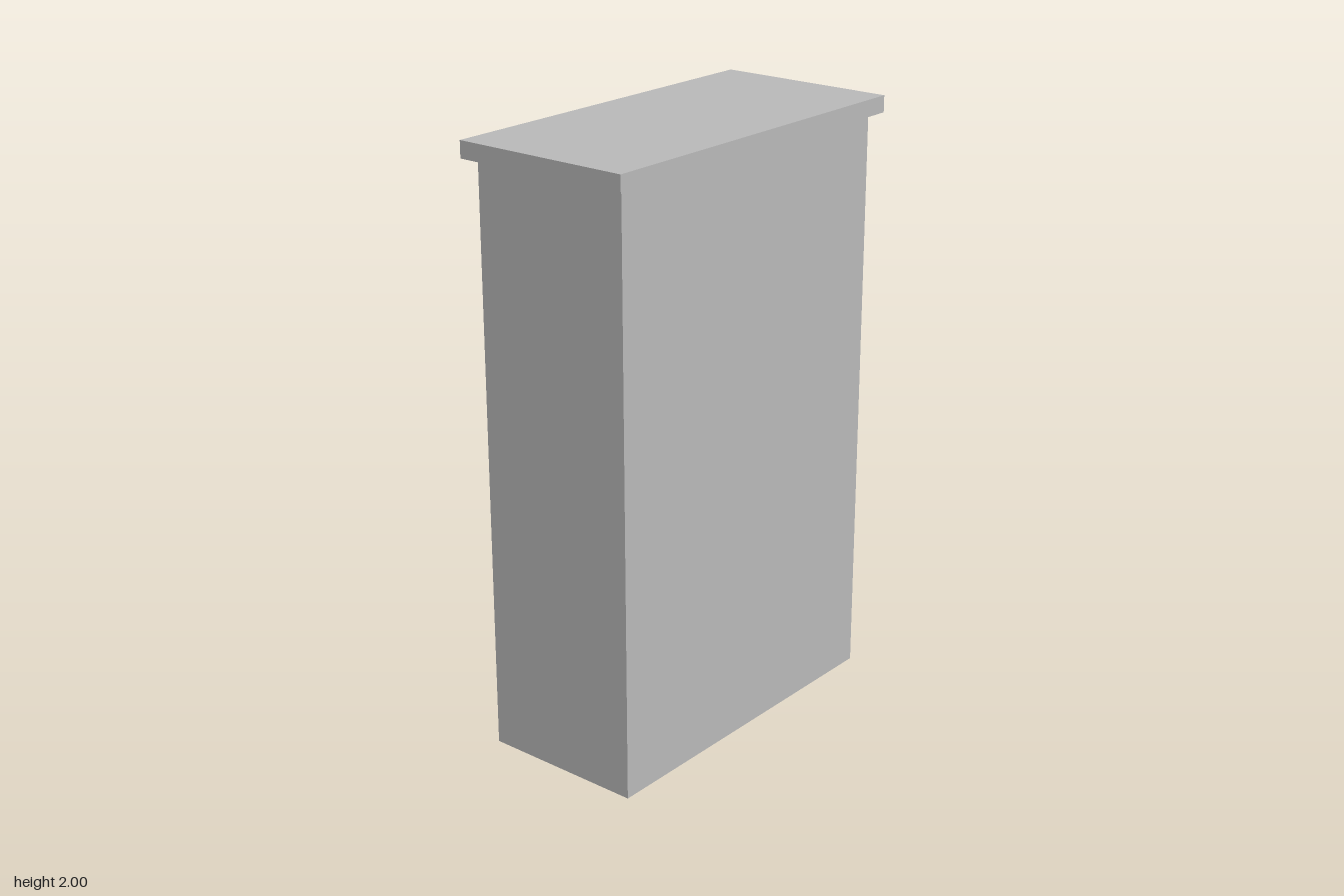
import * as THREE from 'three';

export function createModel() {
  const group = new THREE.Group();
  const grey = new THREE.MeshStandardMaterial({ color: 0xb8b8b8 });
  grey.name = 'grey';

  const add = (name, geometry, x, y, z) => {
    const mesh = new THREE.Mesh(geometry, grey);
    mesh.name = name;
    mesh.position.set(x, y, z);
    group.add(mesh);
  };

  // Box given by its extents on each axis
  const box = (name, [x0, x1], [y0, y1], [z0, z1]) =>
    add(name, new THREE.BoxGeometry(x1 - x0, y1 - y0, z1 - z0),
      (x0 + x1) / 2, (y0 + y1) / 2, (z0 + z1) / 2);

  const doorZ = -0.274; // the doors are on the -z side

  // Cabinet carcass and overhanging top
  box('body', [-0.598, 0.598], [0, 1.945], [doorZ, 0.28]);
  box('cornice', [-0.637, 0.637], [1.945, 2], [-0.306, 0.312]);

  // Strip covering the gap between the doors
  box('centreStrip', [-0.008, 0.008], [0.04, 1.9], [-0.29, doorZ]);

  // Raised panels and a round knob on each door
  for (const [side, s] of [['left', 1], ['right', -1]]) {
    const xs = s > 0 ? [0.057, 0.543] : [-0.543, -0.057];
    box(side + 'LowerPanel', xs, [0.16, 0.815], [-0.286, doorZ]);
    box(side + 'UpperPanel', xs, [0.955, 1.775], [-0.286, doorZ]);
    add(side + 'Knob', new THREE.SphereGeometry(0.016, 10, 8), s * 0.05, 0.935, -0.296);
  }
  return group;
}
